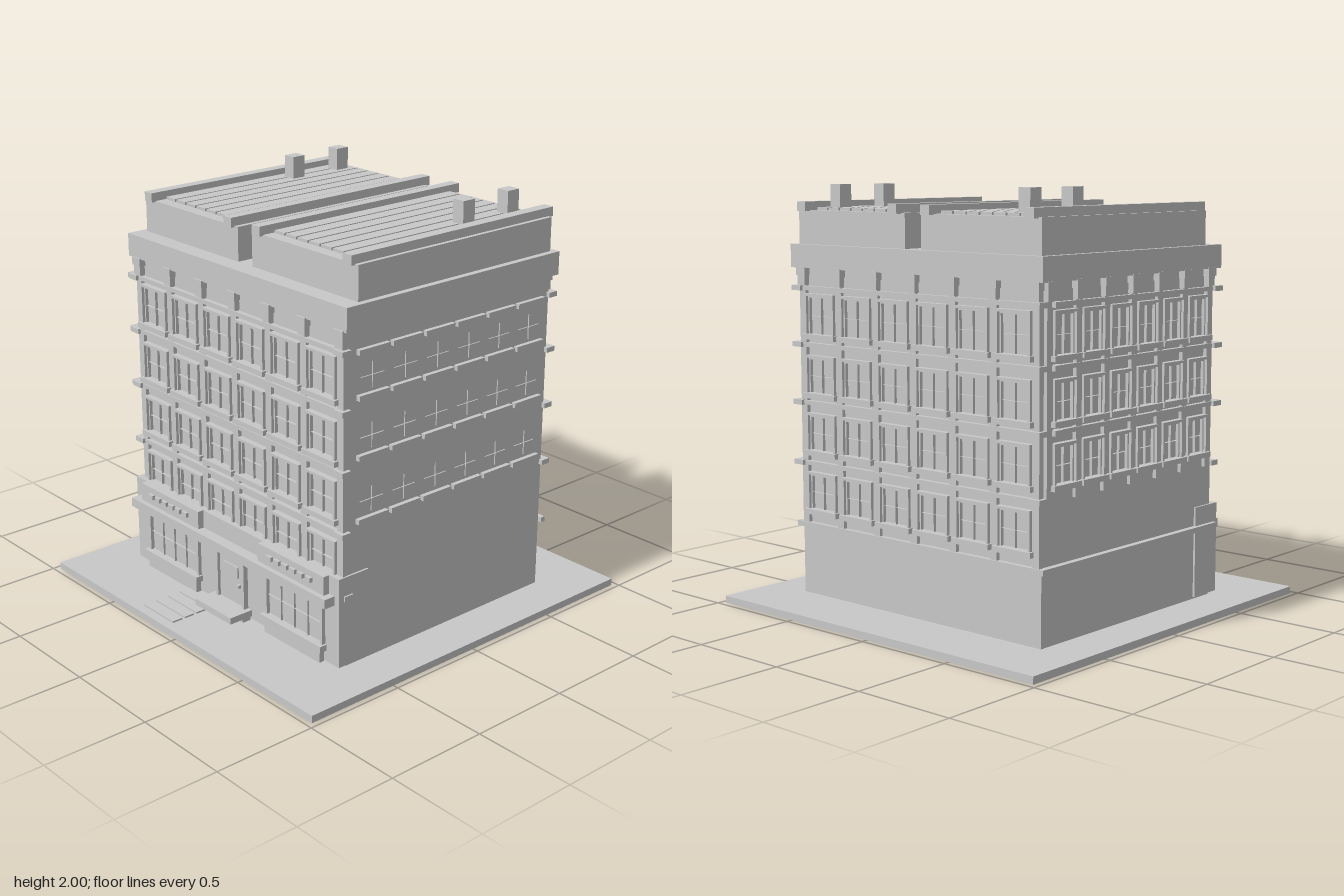
import * as THREE from 'three';

const stone = new THREE.MeshStandardMaterial({ color: 0xc8c8c8, side: THREE.DoubleSide });
stone.name = 'light grey stone';

// Box given by its limits on each axis
function box(parent, name, x0, x1, y0, y1, z0, z1) {
  const mesh = new THREE.Mesh(new THREE.BoxGeometry(x1 - x0, y1 - y0, z1 - z0), stone);
  mesh.position.set((x0 + x1) / 2, (y0 + y1) / 2, (z0 + z1) / 2);
  mesh.name = name;
  parent.add(mesh);
}

function part(parent, name) {
  const g = new THREE.Group();
  g.name = name;
  parent.add(g);
  return g;
}

// Rectangular border without a bottom rail, standing out from z = 0
function surround(parent, name, x0, x1, y0, y1, t, depth) {
  box(parent, name, x0, x0 + t, y0, y1, 0, depth);
  box(parent, name, x1 - t, x1, y0, y1, 0, depth);
  box(parent, name, x0 + t, x1 - t, y1 - t, y1, 0, depth);
}

// Glazing fins: thin sheets standing square to the wall
function glazingBars(parent, x0, x1, y0, y1, nx, ny, depth) {
  const fin = (w, h, x, y) => {
    const mesh = new THREE.Mesh(new THREE.PlaneGeometry(w, h), stone);
    mesh.position.set(x, y, depth / 2);
    mesh.name = 'glazingBar';
    parent.add(mesh);
    return mesh;
  };
  for (let i = 1; i < nx; i++)
    fin(depth, y1 - y0, x0 + (x1 - x0) * i / nx, (y0 + y1) / 2).rotation.y = Math.PI / 2;
  for (let j = 1; j < ny; j++)
    fin(x1 - x0, depth, (x0 + x1) / 2, y0 + (y1 - y0) * j / ny).rotation.x = -Math.PI / 2;
}

const SILLS = [1.30, 1.02, 0.745, 0.46];
const BANDS = [1.525, 1.257, 0.98, 0.69];

// Wall of framed windows, pilasters, bands and brackets, facing local +z
function facade(name, { centers, pitch, rows, half, bottom }) {
  const g = new THREE.Group();
  g.name = name;
  const n = centers.length;
  const w = pitch * 0.405;

  for (let i = 0; i <= n; i++) {
    const x = i < n ? centers[i] - pitch / 2 : centers[n - 1] + pitch / 2;
    box(g, 'pilaster', x - 0.02, x + 0.02, bottom, 1.53, 0, 0.018);
    box(g, 'corniceBracket', x - 0.03, x + 0.03, 1.575, 1.615, 0, 0.033);
    box(g, 'corniceBracket', x - 0.024, x + 0.024, 1.53, 1.575, 0, 0.028);
  }
  for (let r = 0; r < rows; r++) {
    const y = SILLS[r];
    const top = r === 0 ? 1.49 : y + 0.178;
    box(g, 'floorBand', -half, half, BANDS[r] - 0.02, BANDS[r], 0, 0.024);
    for (const end of [-1, 1]) {
      const a = end * (half - 0.045), b = end * (half + 0.015);
      box(g, 'bandEnd', Math.min(a, b), Math.max(a, b), BANDS[r] - 0.022, BANDS[r] + 0.002, -0.012, 0.038);
    }
    for (const c of centers) {
      const win = part(g, 'window');
      box(win, 'sill', c - w - 0.012, c + w + 0.012, y - 0.025, y, 0, 0.042);
      surround(win, 'outerFrame', c - w, c + w, y, top, 0.012, 0.03);
      surround(win, 'innerFrame', c - w + 0.012, c + w - 0.012, y, top - 0.012, 0.008, 0.016);
      glazingBars(win, c - w + 0.02, c + w - 0.02, y, top - 0.02, 2, 2, 0.014);
    }
  }
  return g;
}

const series = (n, start, step) => Array.from({ length: n }, (_, i) => start + step * i);

export function createModel() {
  const model = new THREE.Group();
  model.name = 'building';

  box(model, 'groundSlab', -0.973, 0.973, 0, 0.035, -0.973, 0.973);
  box(model, 'mainWalls', -0.75, 0.75, 0.035, 1.65, -0.66, 0.585);
  box(model, 'cornice', -0.78, 0.78, 1.61, 1.72, -0.69, 0.61);

  // Windowed faces
  const wide = { centers: series(6, -0.593, 0.241), pitch: 0.241, rows: 4, half: 0.755 };
  const front = facade('frontFacade', { ...wide, bottom: 0.4 });
  front.position.z = 0.585;
  const back = facade('backFacade', { ...wide, bottom: 0.39 });
  back.rotation.y = Math.PI;
  back.position.z = -0.66;
  box(back, 'lowerLedge', -0.77, 0.77, 0.365, 0.39, 0, 0.025);
  const sideCenters = series(6, -0.53, 0.194);
  const right = facade('windowedSide', { centers: sideCenters, pitch: 0.194, rows: 3, half: 0.6, bottom: 0.67 });
  right.rotation.y = -Math.PI / 2;
  right.position.x = -0.75;
  box(right, 'lowerLedge', -0.685, 0.605, 0.365, 0.39, 0, 0.03);
  model.add(front, back, right);

  // Plain side with sills and glazing bars only
  const left = part(model, 'plainSide');
  left.rotation.y = Math.PI / 2;
  left.position.x = 0.75;
  for (const c of sideCenters) {
    const u = -c;
    for (const y of [1.515, 1.31, 1.035, 0.737]) {
      box(left, 'sill', u - 0.088, u + 0.088, y - 0.024, y, 0, 0.022);
      if (y < 1.5) glazingBars(left, u - 0.068, u + 0.068, y + 0.015, y + 0.135, 2, 2, 0.006);
    }
  }
  box(left, 'cornerBlock', -0.605, -0.555, 0.365, 0.39, 0, 0.018);

  // Shop front
  const shop = part(model, 'shopFront');
  box(shop, 'shopWalls', -0.76, 0.76, 0.045, 0.48, 0.46, 0.633);
  box(shop, 'canopyLedge', -0.73, 0.73, 0.345, 0.39, 0.633, 0.69);
  for (const x of [-0.445, 0.465]) {
    box(shop, 'signBoard', x - 0.23, x + 0.23, 0.39, 0.48, 0.633, 0.665);
    for (let i = 0; i < 6; i++) {
      const s = x - 0.137 + i * 0.0545;
      box(shop, 'signStud', s - 0.018, s + 0.018, 0.428, 0.45, 0.665, 0.68);
    }
    const win = part(shop, 'shopWindow');
    win.position.z = 0.633;
    surround(win, 'shopFrame', x - 0.203, x + 0.203, 0.13, 0.345, 0.016, 0.018);
    glazingBars(win, x - 0.187, x + 0.187, 0.13, 0.329, 4, 2, 0.01);
    box(win, 'shopSill', x - 0.213, x + 0.213, 0.1, 0.13, 0, 0.04);
    box(win, 'shopBase', x - 0.195, x + 0.195, 0.04, 0.1, 0, 0.028);
  }

  // Door, step and path
  const door = part(shop, 'door');
  door.position.z = 0.633;
  surround(door, 'doorFrame', -0.097, 0.117, 0.06, 0.345, 0.017, 0.025);
  box(door, 'doorLeaf', -0.08, 0.1, 0.06, 0.328, 0, 0.01);
  box(door, 'doorWindow', -0.048, 0.063, 0.228, 0.285, 0.01, 0.018);
  box(door, 'doorKnob', 0.062, 0.078, 0.183, 0.199, 0.01, 0.026);
  box(model, 'doorStep', -0.125, 0.143, 0.058, 0.09, 0.633, 0.76);
  box(model, 'stepBase', -0.115, 0.133, 0.035, 0.058, 0.633, 0.68);
  for (const [a, b] of [[0.66, 0.718], [0.732, 0.788], [0.802, 0.857], [0.872, 0.927]])
    box(model, 'pathSlab', -0.312, -0.082, 0.035, 0.043, a, b);

  // Twin roof blocks with ridged decks and chimneys
  const roof = part(model, 'roof');
  for (const s of [-1, 1]) {
    const mirrored = (name, a, b, ...rest) => box(roof, name, Math.min(s * a, s * b), Math.max(s * a, s * b), ...rest);
    mirrored('attic', 0.05, 0.75, 1.72, 1.88, -0.66, 0.52);
    mirrored('roofBeam', 0.073, 0.128, 1.875, 1.92, -0.69, 0.54);
    mirrored('roofBeam', 0.675, 0.73, 1.875, 1.92, -0.69, 0.54);
    for (let i = 0; i < 7; i++) {
      const x = 0.135 + i * 0.0775;
      mirrored('roofSlat', x, x + 0.067, 1.88, 1.893, -0.62, 0.46);
    }
    for (const z of [-0.545, -0.26])
      mirrored('chimney', 0.552, 0.617, 1.88, 2, z - 0.036, z + 0.036);
  }
  for (const z of [-0.32, -0.208, -0.09, 0.02])
    box(roof, 'gutterDivider', -0.05, 0.05, 1.72, 1.84, z - 0.01, z + 0.01);

  return model;
}
